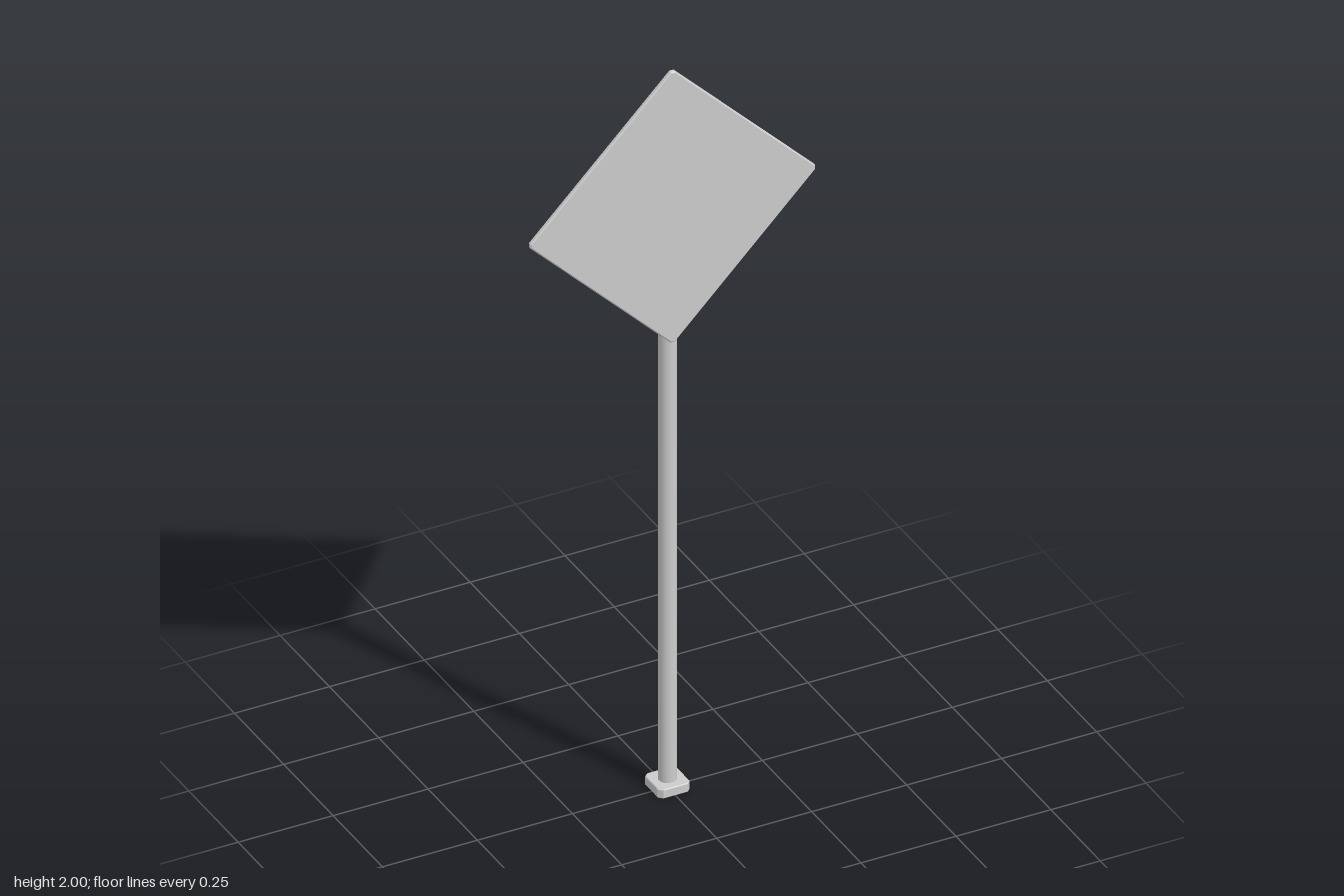
import * as THREE from 'three';

const material = new THREE.MeshStandardMaterial({ color: 0xcccccc });
const flatMaterial = new THREE.MeshStandardMaterial({ color: 0xcccccc, flatShading: true });

// Square outline with clipped corners
function clippedSquare(half, clip) {
  const k = half - clip;
  return new THREE.Shape([
    [k, -half], [half, -k], [half, k], [k, half],
    [-k, half], [-half, k], [-half, -k], [-k, -half],
  ].map(([x, y]) => new THREE.Vector2(x, y)));
}

// Clipped square plate centred on its own origin, with bevelled rims
function plate(half, clip, thickness, bevel) {
  const geometry = new THREE.ExtrudeGeometry(clippedSquare(half, clip), {
    depth: thickness - 2 * bevel,
    bevelEnabled: true,
    bevelThickness: bevel,
    bevelSize: bevel,
    bevelOffset: -bevel,
    bevelSegments: 1,
  });
  return geometry.translate(0, 0, bevel - thickness / 2);
}

export function createModel() {
  const group = new THREE.Group();
  const add = (name, geometry, mat) => {
    const mesh = new THREE.Mesh(geometry, mat);
    mesh.name = name;
    group.add(mesh);
    return mesh;
  };

  // Foot on the ground
  const base = add('base', plate(0.042, 0.01, 0.025, 0.002), flatMaterial);
  base.rotation.x = -Math.PI / 2;
  base.position.y = 0.0125;

  // Round post
  const post = add('post', new THREE.CylinderGeometry(0.022, 0.022, 1.915, 24), material);
  post.position.y = 0.01 + 1.915 / 2;

  // Diamond board on the front of the post
  const board = add('signBoard', plate(0.2692, 0.008, 0.013, 0.003), flatMaterial);
  board.rotation.z = Math.PI / 4;
  board.position.set(0, 1.625, 0.0235);

  return group;
}
